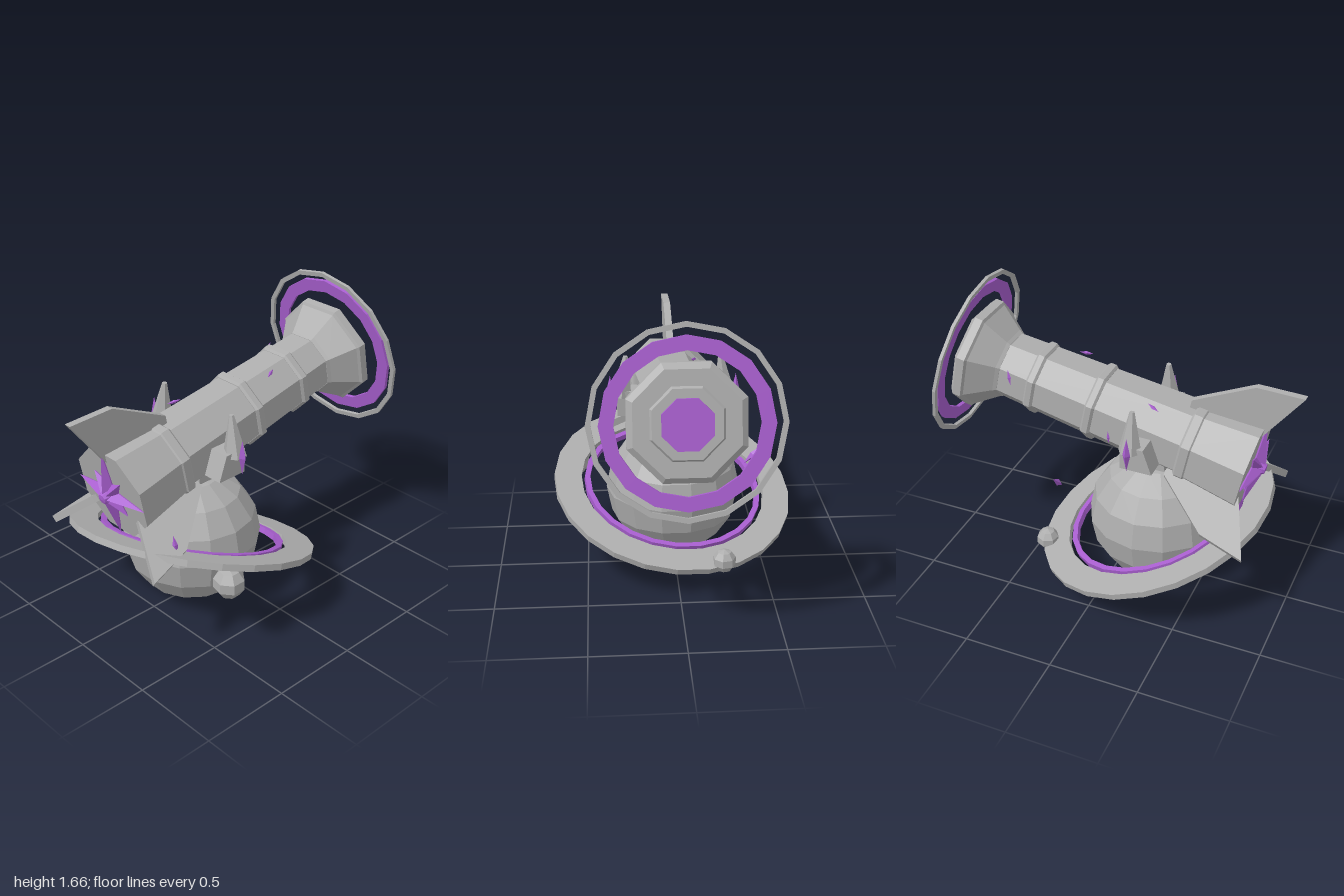
import * as THREE from 'three';

export function createModel() {
  const grey = new THREE.MeshStandardMaterial({ color: 0xaeaeae, flatShading: true });
  grey.name = 'stone grey';
  const purple = new THREE.MeshStandardMaterial({ color: 0xa95fd0, flatShading: true });
  purple.name = 'violet';
  const model = new THREE.Group();
  model.name = 'planetTelescope';

  const add = (parent, name, geo, mat, x = 0, y = 0, z = 0) => {
    const m = new THREE.Mesh(geo, mat);
    m.name = name;
    m.position.set(x, y, z);
    parent.add(m);
    return m;
  };
  const lathe = (pts, n, start = 0) =>
    new THREE.LatheGeometry(pts.map(p => new THREE.Vector2(p[0], p[1])), n, start);
  // Eight-sided solid; each profile point is [distance to flat side, height]
  const octagon = pts => lathe(pts.map(p => [p[0] / Math.cos(Math.PI / 8), p[1]]), 8, Math.PI / 8);
  const hoop = (inner, outer, h, n) =>
    lathe([[inner, -h], [outer, -h], [outer, h], [inner, h], [inner, -h]], n);
  // Faceted star in the xy plane, raised to a ridge on both faces
  const star = (radii, points, h) => {
    const n = radii.length * points / 2, pos = [];
    const rim = i => {
      const a = Math.PI / 2 + i * 2 * Math.PI / n, r = radii[i % radii.length];
      return [r * Math.cos(a), r * Math.sin(a), 0];
    };
    for (let i = 0; i < n; i++) {
      pos.push(0, 0, h, ...rim(i), ...rim(i + 1));
      pos.push(0, 0, -h, ...rim(i + 1), ...rim(i));
    }
    const g = new THREE.BufferGeometry();
    g.setAttribute('position', new THREE.Float32BufferAttribute(pos, 3));
    g.computeVertexNormals();
    return g;
  };
  const plate = (pts, depth) => {
    const shape = new THREE.Shape(pts.map(p => new THREE.Vector2(p[0], p[1])));
    return new THREE.ExtrudeGeometry(shape, { depth, bevelEnabled: false }).translate(0, 0, -depth / 2);
  };

  // Planet
  add(model, 'planet', new THREE.SphereGeometry(0.385, 14, 8), grey, 0, 0.39, 0.21);

  // Tilted planet rings
  const rings = new THREE.Group();
  rings.name = 'planetRings';
  rings.position.set(0, 0.385, 0.21);
  rings.quaternion.setFromUnitVectors(new THREE.Vector3(0, 1, 0),
    new THREE.Vector3(-0.14, 1, -0.35).normalize());
  model.add(rings);
  add(rings, 'outerRing', hoop(0.535, 0.69, 0.018, 24), grey);
  add(rings, 'innerRing', hoop(0.485, 0.515, 0.018, 24), purple);

  // Moons
  add(model, 'largeMoon', new THREE.SphereGeometry(0.088, 7, 5), grey, 0.57, 0.45, 0.46);
  add(model, 'smallMoon', new THREE.SphereGeometry(0.066, 7, 5), grey, -0.245, 0.185, -0.37);

  // Telescope: local y runs from the nose to the dish, local z is up
  const scope = new THREE.Group();
  scope.name = 'telescope';
  scope.position.set(0, 0.855, 0.75);
  scope.rotation.x = 0.2 - Math.PI / 2;
  model.add(scope);
  add(scope, 'noseSection', octagon([[0, 0], [0.25, 0], [0.215, 0.36], [0, 0.36]]), grey);
  add(scope, 'tube', octagon([[0, 0.34], [0.205, 0.34], [0.172, 1.47], [0, 1.47]]), grey);
  for (const [s, r, w] of [[0.335, 0.228, 0.035], [0.9, 0.205, 0.028], [1.256, 0.193, 0.028]]) {
    add(scope, 'collar', octagon([[0, s - w], [r - 0.012, s - w], [r, s - w + 0.012],
      [r, s + w - 0.012], [r - 0.012, s + w], [0, s + w]]), grey);
  }
  add(scope, 'dishFlare', octagon([[0, 1.44], [0.175, 1.45], [0.185, 1.47], [0.275, 1.6],
    [0.29, 1.61], [0.29, 1.655], [0.26, 1.68], [0.18, 1.68], [0.17, 1.695], [0, 1.695]]), grey);
  add(scope, 'dishCentre', octagon([[0, 1.69], [0.125, 1.69], [0.125, 1.715], [0, 1.715]]), purple);
  add(scope, 'dishOuterHoop', hoop(0.457, 0.483, 0.009, 16), grey, 0, 1.672, 0);
  add(scope, 'dishInnerHoop', hoop(0.35, 0.422, 0.01, 16), purple, 0, 1.69, 0);

  // Star emblem on the nose
  const emblem = add(scope, 'noseStar', star([0.265, 0.075, 0.15, 0.075], 8, 0.06), purple, 0, -0.008, 0);
  emblem.rotation.x = Math.PI / 2;
  add(scope, 'noseStarKnob', octagon([[0, -0.075], [0.025, -0.07], [0.04, -0.03], [0, -0.03]]), purple);

  // Three tail fins around the axis; outline is [radius, distance along axis]
  const finOutline = [[0.515, -0.15], [0.473, 0.106], [0.249, 0.41], [0.17, 0.41], [0.2, 0.0], [0.232, -0.014]];
  for (const a of [0, 125, -125]) {
    const fin = add(scope, 'fin', plate(finOutline, 0.04), grey);
    fin.rotation.y = -Math.PI / 2 + a * Math.PI / 180;
  }

  // Mount between planet and telescope
  add(model, 'neck', new THREE.CylinderGeometry(0.075, 0.1, 0.1, 10), grey, 0, 0.765, 0.2);
  add(model, 'mountPlate', new THREE.CylinderGeometry(0.16, 0.16, 0.045, 10), grey, 0, 0.81, 0.16);
  const cradle = add(model, 'cradle',
    plate([[-0.31, 0.8], [-0.1, 0.8], [-0.1, 0.92], [-0.31, 0.86]], 0.36), grey);
  cradle.rotation.y = Math.PI / 2;
  for (const side of [1, -1]) {
    const bracket = add(model, 'bracket',
      plate([[-0.29, 0.86], [-0.11, 0.86], [-0.11, 1.0], [-0.24, 1.0]], 0.14), grey, side * 0.245, 0, 0);
    bracket.rotation.y = Math.PI / 2;
    const spike = add(model, 'spike', new THREE.CylinderGeometry(0.014, 0.066, 0.23, 6), grey,
      side * 0.278, 1.08, 0.16);
    spike.rotation.z = side * 0.12;
    const sideStar = add(model, 'sideStar', star([0.1, 0.022], 4, 0.025), purple, side * 0.353, 0.98, 0.165);
    sideStar.rotation.y = Math.PI / 2;
  }

  // Floating stars: position, size, facing direction, spin
  const stars = [
    [[-0.41, 0.74, -0.21], 0.075, [0, 0, 1], Math.PI / 4],
    [[0.36, 0.655, 0.64], 0.055, [0.7, 0.2, 0.7], 0.3],
    [[-0.21, 1.195, -0.58], 0.042, [-1, 0.3, 0], 0],
    [[0.12, 1.245, -0.27], 0.04, [0.5, 1, 0], 0],
    [[-0.12, 1.15, 0.22], 0.04, [-0.5, 1, 0], 0],
    [[-0.21, 0.96, 0.0], 0.035, [-1, 0.1, 0], 0]
  ];
  for (const [p, r, dir, spin] of stars) {
    const s = add(model, 'floatingStar', star([r, r * 0.25], 4, r * 0.25), purple, ...p);
    s.quaternion.setFromUnitVectors(new THREE.Vector3(0, 0, 1), new THREE.Vector3(...dir).normalize());
    s.rotateZ(spin);
  }
  return model;
}
